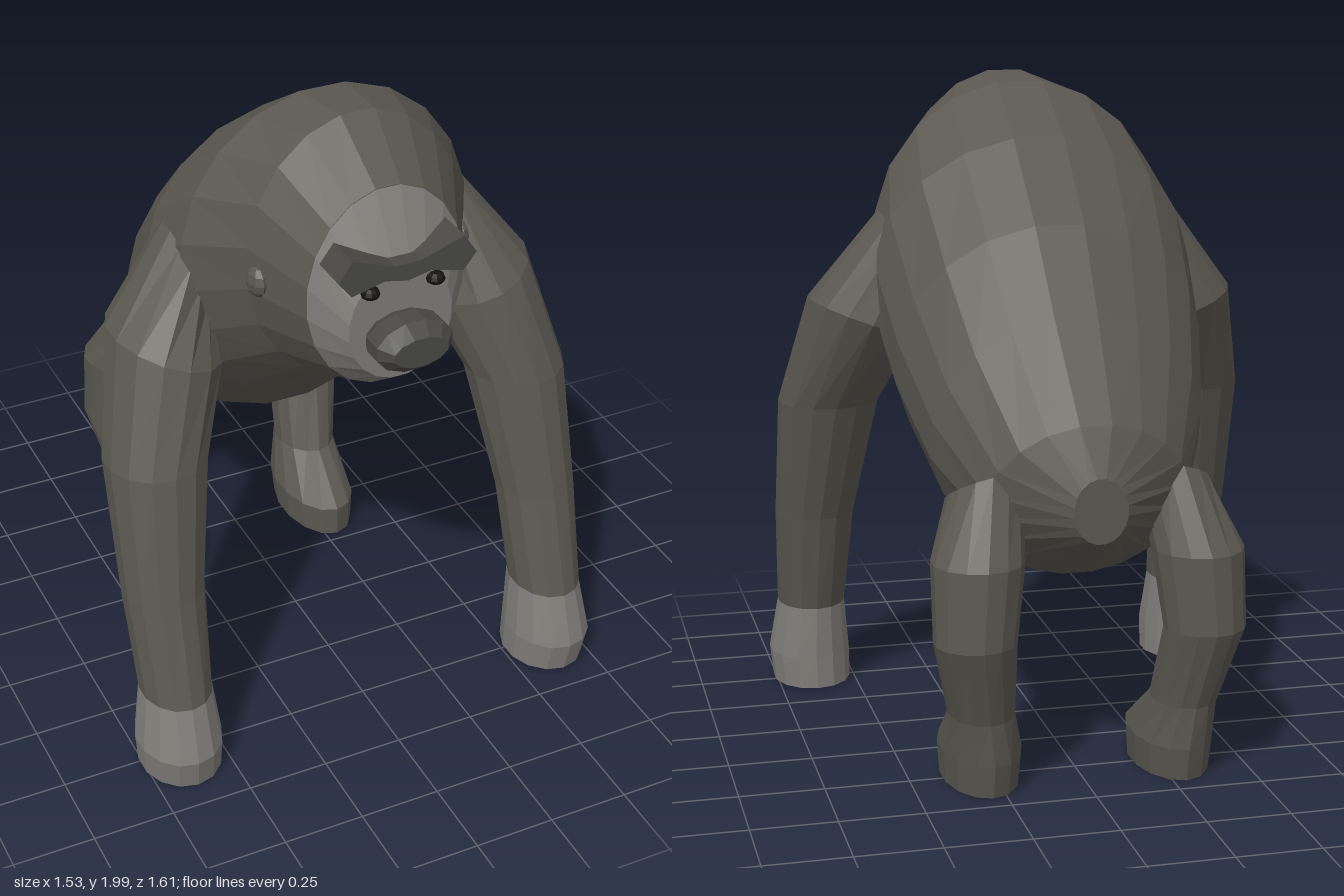
import * as THREE from 'three';

const paint = (color) => new THREE.MeshStandardMaterial({ color, flatShading: true });

// Skin through elliptical rings {c, u, v}; u x v points along the run of rings. Both ends are capped.
function loft(rings, sides) {
  const pos = [], idx = [];
  for (const { c, u, v } of rings) {
    for (let j = 0; j < sides; j++) {
      const a = ((j + 0.5) / sides) * Math.PI * 2;
      for (let k = 0; k < 3; k++) pos.push(c[k] + u[k] * Math.cos(a) + v[k] * Math.sin(a));
    }
  }
  const last = (rings.length - 1) * sides, capA = rings.length * sides, capB = capA + 1;
  pos.push(...rings[0].c, ...rings[rings.length - 1].c);
  for (let j = 0; j < sides; j++) {
    const n = (j + 1) % sides;
    for (let r = 0; r < last; r += sides) {
      idx.push(r + j, r + n, r + sides + n, r + j, r + sides + n, r + sides + j);
    }
    idx.push(capA, n, j, capB, last + j, last + n);
  }
  const g = new THREE.BufferGeometry();
  g.setAttribute('position', new THREE.Float32BufferAttribute(pos, 3));
  g.setIndex(idx);
  const flat = g.toNonIndexed();
  flat.computeVertexNormals();
  return flat;
}

// Ring from its top and bottom points in the side plane and its half width, running front to back
const bodyRing = ([tz, ty, bz, by, w]) => ({
  c: [0, (ty + by) / 2, (tz + bz) / 2],
  u: [0, (ty - by) / 2, (tz - bz) / 2],
  v: [w, 0, 0],
});

// Ring of a limb running downwards: centre, half width, half depth, rise of outer edge, rise of front edge
const limbRing = (s) => ([x, y, z, rx, rz, lean = 0, pitch = 0]) => ({
  c: [x * s, y, z],
  u: [rx, lean * s, 0],
  v: [0, pitch, rz],
});

export function createModel() {
  const model = new THREE.Group();
  model.name = 'ape';
  const fur = paint(0x5a5850), skin = paint(0x807e79), dark = paint(0x4a4945), black = paint(0x141312);
  const add = (name, geometry, material, parent = model) => {
    const mesh = new THREE.Mesh(geometry, material);
    mesh.name = name;
    parent.add(mesh);
    return mesh;
  };

  // Head and torso in one sweep
  add('body', loft([
    [0.59, 1.86, 0.59, 1.23, 0.245],
    [0.40, 2.00, 0.40, 1.16, 0.34],
    [0.18, 1.98, 0.24, 1.04, 0.46],
    [-0.06, 1.83, 0.14, 0.95, 0.50],
    [-0.31, 1.60, -0.06, 0.77, 0.47],
    [-0.50, 1.36, -0.31, 0.63, 0.41],
    [-0.72, 1.09, -0.51, 0.60, 0.30],
    [-0.78, 0.95, -0.78, 0.76, 0.08],
  ].map(bodyRing), 20), fur);

  // Bare face
  add('face', loft([
    [0.685, 1.66, 0.685, 1.30, 0.16],
    [0.589, 1.86, 0.589, 1.23, 0.245],
  ].map(bodyRing), 20), skin);

  // Muzzle and lips
  add('muzzle', loft([
    [0.81, 1.495, 0.81, 1.405, 0.085],
    [0.77, 1.53, 0.77, 1.37, 0.12],
    [0.71, 1.53, 0.71, 1.37, 0.12],
    [0.66, 1.51, 0.66, 1.39, 0.10],
  ].map(bodyRing), 12), dark);

  // Brow ridge
  const brow = new THREE.Shape([
    [-0.21, 1.67], [-0.17, 1.62], [-0.07, 1.645], [0, 1.63], [0.07, 1.645], [0.17, 1.62],
    [0.21, 1.67], [0.17, 1.73], [0.04, 1.685], [-0.04, 1.685], [-0.17, 1.73],
  ].map(([x, y]) => new THREE.Vector2(x, y)));
  add('brow', new THREE.ExtrudeGeometry(brow, { depth: 0.12, bevelEnabled: false }), dark).position.z = 0.6;

  for (const s of [1, -1]) {
    const side = s > 0 ? 'left' : 'right';

    const eye = add(side + 'Eye', new THREE.SphereGeometry(1, 10, 6), black);
    eye.scale.set(0.028, 0.02, 0.03);
    eye.position.set(0.1 * s, 1.6, 0.69);

    const ear = add(side + 'Ear', new THREE.SphereGeometry(1, 8, 6), fur);
    ear.scale.set(0.03, 0.05, 0.05);
    ear.position.set(0.315 * s, 1.55, 0.42);

    // Arm from shoulder to wrist, then the hand it walks on
    const arm = new THREE.Group();
    arm.name = side + 'Arm';
    model.add(arm);
    const wrist = [0.635, 0.27, 0.505, 0.108, 0.135];
    add('upperAndLowerArm', loft([
      [0.405, 1.46, 0.11, 0.055, 0.13, 0.14],
      [0.505, 1.27, 0.175, 0.165, 0.205, 0.06],
      [0.595, 0.98, 0.31, 0.157, 0.16],
      [0.63, 0.59, 0.42, 0.125, 0.13],
      wrist,
    ].map(limbRing(s)), 14), fur, arm);
    add('hand', loft([
      wrist,
      [0.64, 0.1, 0.53, 0.13, 0.16],
      [0.635, 0, 0.52, 0.125, 0.15],
    ].map(limbRing(s)), 14), skin, arm);

    // Hind leg, bent at the knee and ending in a long foot
    add(side + 'Leg', loft([
      [0.28, 0.88, -0.525, 0.11, 0.13, -0.02, -0.06],
      [0.325, 0.7, -0.65, 0.135, 0.14],
      [0.34, 0.47, -0.68, 0.12, 0.12],
      [0.305, 0.23, -0.59, 0.097, 0.13],
      [0.29, 0.1, -0.495, 0.12, 0.215],
      [0.29, 0, -0.485, 0.112, 0.205],
    ].map(limbRing(s)), 14), fur);
  }
  return model;
}
